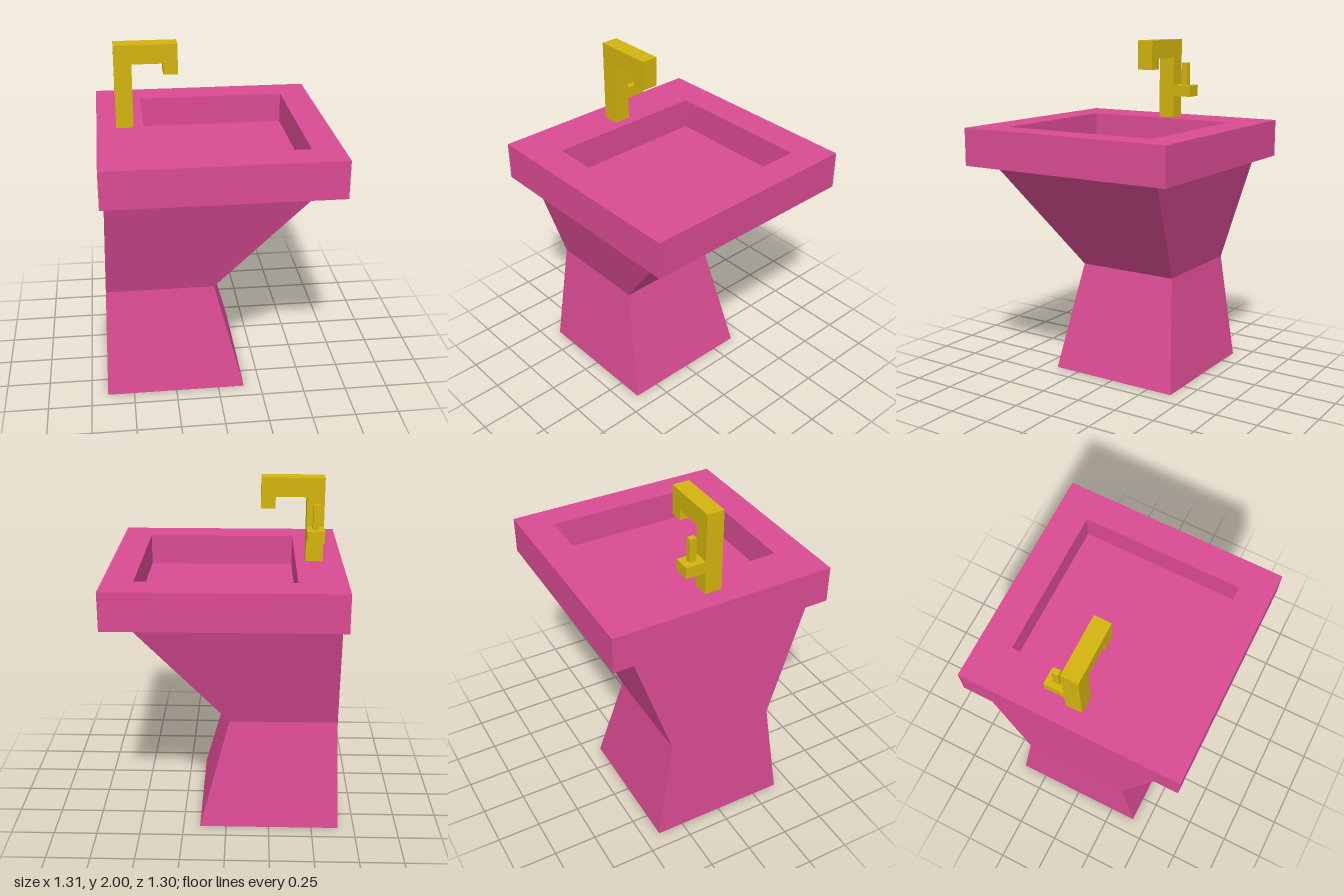
import * as THREE from 'three';

const pink = new THREE.MeshStandardMaterial({ color: 0xd94b92, flatShading: true });
const brass = new THREE.MeshStandardMaterial({ color: 0xd2b40f, flatShading: true });

function add(parent, name, geometry, material) {
  const mesh = new THREE.Mesh(geometry, material);
  mesh.name = name;
  parent.add(mesh);
  return mesh;
}

// Box given by its limits on each axis
function box(x0, x1, y0, y1, z0, z1) {
  return new THREE.BoxGeometry(x1 - x0, y1 - y0, z1 - z0)
    .translate((x0 + x1) / 2, (y0 + y1) / 2, (z0 + z1) / 2);
}

// Closed solid through rectangular sections { y, x0, x1, z0, z1 }, bottom to top
function loft(sections) {
  const rings = sections.map(({ y, x0, x1, z0, z1 }) =>
    [[x0, y, z1], [x1, y, z1], [x1, y, z0], [x0, y, z0]]);
  const pos = [];
  const quad = (a, b, c, d) => pos.push(...a, ...b, ...c, ...a, ...c, ...d);
  for (let i = 0; i < rings.length - 1; i++) {
    for (let k = 0; k < 4; k++) {
      const n = (k + 1) % 4;
      quad(rings[i][k], rings[i][n], rings[i + 1][n], rings[i + 1][k]);
    }
  }
  const [a, b, c, d] = rings[0];
  quad(d, c, b, a);
  quad(...rings[rings.length - 1]);
  const g = new THREE.BufferGeometry();
  g.setAttribute('position', new THREE.Float32BufferAttribute(pos, 3));
  g.computeVertexNormals();
  return g;
}

// Rectangle outline on the ground plan
function rect(Type, x0, x1, z0, z1) {
  return new Type([[x0, -z1], [x1, -z1], [x1, -z0], [x0, -z0]]
    .map(([x, y]) => new THREE.Vector2(x, y)));
}

export function createModel() {
  const model = new THREE.Group();
  model.name = 'washbasin';

  // Waisted pedestal flaring forward under the basin
  add(model, 'pedestal', loft([
    { y: 0, x0: -0.655, x1: 0.153, z0: -0.405, z1: 0.405 },
    { y: 0.642, x0: -0.638, x1: -0.017, z0: -0.31, z1: 0.312 },
    { y: 1.315, x0: -0.622, x1: 0.535, z0: -0.532, z1: 0.535 },
  ]), pink);

  // Square basin slab with a rectangular recess
  const basin = new THREE.Group();
  basin.name = 'basin';
  model.add(basin);
  const hole = [-0.382, 0.484, -0.47, 0.467];
  const outline = rect(THREE.Shape, -0.645, 0.653, -0.652, 0.65);
  outline.holes.push(rect(THREE.Path, ...hole));
  add(basin, 'basinRim', new THREE.ExtrudeGeometry(outline, { depth: 0.215, bevelEnabled: false })
    .rotateX(-Math.PI / 2).translate(0, 1.315, 0), pink);
  add(basin, 'basinFloor', box(hole[0], hole[1], 1.315, 1.352, hole[2], hole[3]), pink);

  // Hooked spout cut from one square bar
  const faucet = new THREE.Group();
  faucet.name = 'faucet';
  model.add(faucet);
  const spout = new THREE.Shape([
    [-0.535, 1.53], [-0.438, 1.53], [-0.438, 1.893], [-0.265, 1.893],
    [-0.265, 1.83], [-0.185, 1.83], [-0.185, 2], [-0.535, 2],
  ].map(([x, y]) => new THREE.Vector2(x, y)));
  add(faucet, 'spout', new THREE.ExtrudeGeometry(spout, { depth: 0.098, bevelEnabled: false })
    .translate(0, 0, -0.065), brass);

  // Side valve with its upright lever
  add(faucet, 'valve', box(-0.535, -0.438, 1.66, 1.727, -0.18, -0.065), brass);
  add(faucet, 'lever', box(-0.503, -0.47, 1.727, 1.862, -0.142, -0.103), brass);

  return model;
}
